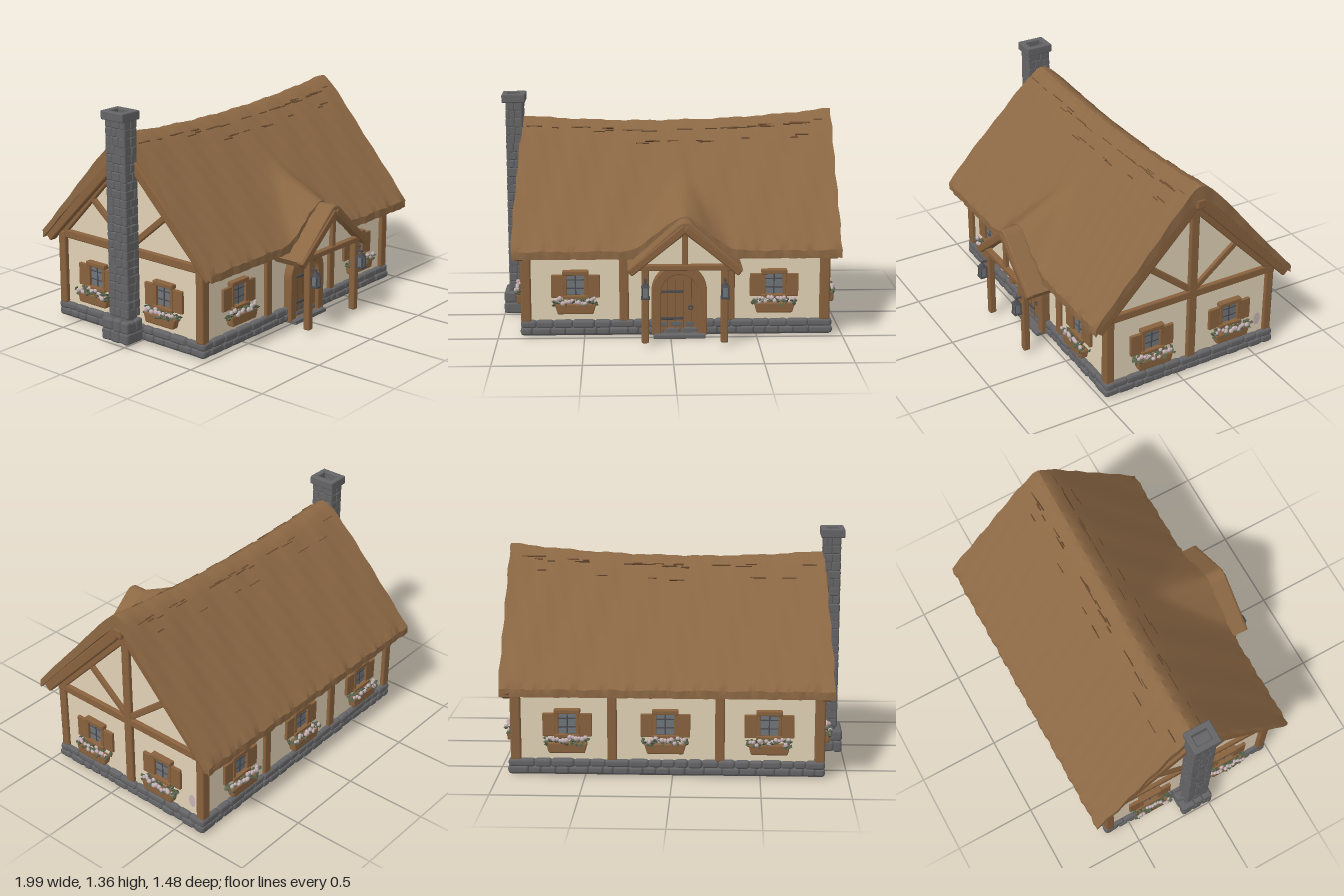
import * as THREE from 'three';
import { mergeGeometries, toCreasedNormals } from 'three/addons/utils/BufferGeometryUtils.js';
import { RoundedBoxGeometry } from 'three/addons/geometries/RoundedBoxGeometry.js';

const colours = {
  thatch: 0x8c6844, darkThatch: 0x684a2f, wood: 0x89623e, plaster: 0xe2d2b6, stone: 0x656567,
  glass: 0x70757b, leaf: 0x566149, flower: 0xc6b2b7, iron: 0x4c4c50, underside: 0x4e4e4f,
};
const mat = {};
for (const [name, color] of Object.entries(colours)) {
  mat[name] = new THREE.MeshStandardMaterial({ color });
  mat[name].name = name;
}

let seed = 7;
const rnd = () => (seed = (seed * 16807) % 2147483647) / 2147483647;
const vary = (a, b) => a + (b - a) * rnd();
const V = (x, y, z) => new THREE.Vector3(x, y, z);

function add(parent, name, geo, material) {
  const mesh = new THREE.Mesh(geo, material);
  mesh.name = name;
  parent.add(mesh);
  return mesh;
}
const rounded = (w, h, d, k = 0.2) => new RoundedBoxGeometry(w, h, d, 1, Math.min(w, h, d) * k);
const block = (parent, name, w, h, d, x, y, z, m) => add(parent, name, rounded(w, h, d).translate(x, y, z), m);

// Timber running from a to b, w wide and d deep
function beam(parent, name, a, b, w, d) {
  const dir = b.clone().sub(a);
  const mesh = add(parent, name, rounded(w, dir.length(), d), mat.wood);
  mesh.position.copy(a).add(b).multiplyScalar(0.5);
  mesh.quaternion.setFromUnitVectors(V(0, 1, 0), dir.normalize());
}

// One course of uneven stones around a rectangle
function stoneRing(list, x0, x1, z0, z1, y, h, size, depth) {
  const row = (len, place) => {
    for (let p = 0; p < len - 0.005;) {
      let w = size * vary(0.65, 1.35);
      if (len - p - w < size * 0.5) w = len - p;
      place(p + w / 2, w * 1.04, h * vary(0.98, 1.22), depth * vary(0.9, 1.15));
      p += w;
    }
  };
  for (const z of [z0 + depth / 2, z1 - depth / 2])
    row(x1 - x0, (p, w, hh, d) => list.push(rounded(w, hh, d, 0.36).translate(x0 + p, y, z)));
  for (const x of [x0 + depth / 2, x1 - depth / 2])
    row(z1 - z0, (p, w, hh, d) => list.push(rounded(d, hh, w, 0.36).translate(x, y, z0 + p)));
}

const RIDGE_Z = -0.09, FRONT = 0.573, BACK = -0.737;
const ridgeY = (x) => { const u = (x - 0.05) / 0.9; return 1.187 + 0.0475 * u * u + 0.0175 * u; };
const reach = (z) => Math.abs(z - RIDGE_Z) / (z > RIDGE_Z ? FRONT - RIDGE_Z : RIDGE_Z - BACK);
function mainRoof(x, z) {
  const round = (t) => Math.hypot(t, 0.07) - 0.07;
  const r = ridgeY(x);
  return r - (r - 0.533) * round(reach(z)) / round(1);
}
// Main slope blended into the swell over the porch
function roofTop(x, z) {
  const a = mainRoof(x, z);
  if (z < RIDGE_Z) return a;
  const b = 0.784 - 0.9 * Math.hypot(x - 0.07, 0.06) + (FRONT - z) * 0.48;
  return 0.5 * (a + b + Math.hypot(a - b, 0.03));
}

function roofGeometry() {
  const NX = 90, K = 36, M = 2 * (K + 1), pos = [], idx = [];
  for (let i = 0; i <= NX; i++) for (let j = 0; j < M; j++) {
    const outer = j <= K, t = (outer ? j : M - 1 - j) / K;
    const z = FRONT + (BACK - FRONT) * t, d = reach(z);
    const left = -0.865 - 0.045 * Math.min(1, d * 1.2);
    const x = left + (0.977 - left) * i / NX;
    const wave = 0.0025 * Math.sin(x * 23 + z * 9) + 0.002 * Math.sin(x * 61 - z * 17);
    const y = outer ? roofTop(x, z) + wave : mainRoof(x, z) - 0.046 - 0.049 * (1 - d);
    const edge = d > 0.97 ? 0.003 * (Math.sin(x * 37) + Math.sin(x * 83 + 1)) : 0;
    pos.push(x + (i === 0 || i === NX ? 0.004 * Math.sin(z * 45) : 0), y, z + edge);
  }
  for (let i = 0; i < NX; i++) for (let j = 0; j < M; j++) {
    const a = i * M + j, d = i * M + (j + 1) % M, b = a + M, c = d + M;
    idx.push(a, b, c, a, c, d);
  }
  for (let j = 0; j < K; j++) {
    const q = [M - 1 - j, M - 2 - j, j + 1, j], r = q.map((v) => v + NX * M);
    idx.push(r[0], r[1], r[2], r[0], r[2], r[3], q[0], q[2], q[1], q[0], q[3], q[2]);
  }
  const g = new THREE.BufferGeometry();
  g.setAttribute('position', new THREE.Float32BufferAttribute(pos, 3));
  g.setIndex(idx);
  return toCreasedNormals(g, 0.7);
}

// Window with shutters and a flower box, facing +z
function makeWindow(x, z, turn) {
  const g = new THREE.Group();
  g.name = 'window';
  block(g, 'glass', 0.11, 0.13, 0.014, 0, 0.005, 0.002, mat.glass);
  for (const s of [-1, 1]) {
    block(g, 'windowJamb', 0.02, 0.15, 0.035, s * 0.06, 0.005, 0.008, mat.wood);
    block(g, 'shutter', 0.072, 0.135, 0.02, s * 0.105, -0.006, 0.012, mat.wood);
  }
  block(g, 'windowHead', 0.15, 0.028, 0.045, 0, 0.073, 0.008, mat.wood);
  block(g, 'windowSill', 0.15, 0.02, 0.05, 0, -0.07, 0.01, mat.wood);
  block(g, 'mullion', 0.008, 0.13, 0.012, 0, 0.005, 0.007, mat.iron);
  for (const y of [-0.02, 0.03]) block(g, 'glazingBar', 0.11, 0.007, 0.012, 0, y, 0.007, mat.iron);
  const box = rounded(0.235, 0.062, 0.05), p = box.attributes.position;
  for (let i = 0; i < p.count; i++) if (p.getY(i) < 0) p.setX(i, p.getX(i) * 0.9);
  add(g, 'flowerBox', box.translate(0, -0.132, 0.037), mat.wood);
  const leaves = [], flowers = [];
  for (let i = 0; i < 56; i++) {
    const leaf = new THREE.OctahedronGeometry(0.018).scale(1, 0.5, 0.75);
    leaf.rotateZ(vary(-1, 1)).rotateY(vary(0, 6));
    leaves.push(leaf.translate(vary(-0.128, 0.128), vary(-0.115, -0.078), vary(0.015, 0.068)));
  }
  for (let i = 0; i < 13; i++)
    flowers.push(new THREE.IcosahedronGeometry(vary(0.011, 0.015), 1).scale(1, 1, 0.8).translate(
      -0.108 + 0.018 * i, vary(-0.1, -0.066), vary(0.045, 0.07)));
  add(g, 'leaves', mergeGeometries(leaves), mat.leaf);
  add(g, 'flowers', mergeGeometries(flowers), mat.flower);
  g.position.set(x, 0.31, z);
  g.rotation.y = turn;
  return g;
}

function arch(half, spring, top) {
  const s = new THREE.Shape();
  s.moveTo(-half, 0.02).lineTo(half, 0.02).lineTo(half, spring);
  s.absellipse(0, spring, half, top - spring, 0, Math.PI, false, 0);
  return s.lineTo(-half, 0.02);
}
const extrude = (shape, depth, bevel = 0) => new THREE.ExtrudeGeometry(shape, {
  depth, bevelEnabled: bevel > 0, bevelSize: bevel, bevelThickness: bevel, bevelSegments: 2, curveSegments: 16,
});
const poly = (pts) => new THREE.Shape(pts.map(([x, y]) => new THREE.Vector2(x, y)));

function makeDoor() {
  const g = new THREE.Group();
  g.name = 'door';
  const frame = arch(0.155, 0.275, 0.425);
  frame.holes.push(arch(0.112, 0.265, 0.38));
  add(g, 'doorFrame', extrude(frame, 0.05, 0.005).translate(0, 0, 0.45), mat.wood);
  add(g, 'doorLeaf', extrude(arch(0.115, 0.265, 0.383), 0.03).translate(0, 0, 0.45), mat.wood);
  for (const x of [-0.07, -0.023, 0.023, 0.07])
    add(g, 'plankGap', new THREE.BoxGeometry(0.004, 0.31, 0.004).translate(x, 0.185, 0.479), mat.darkThatch);
  for (const y of [0.11, 0.27]) block(g, 'hinge', 0.13, 0.016, 0.01, -0.045, y, 0.483, mat.iron);
  add(g, 'doorHandle', new THREE.TorusGeometry(0.012, 0.004, 6, 14).translate(0.065, 0.175, 0.487), mat.iron);
  block(g, 'doorstep', 0.3, 0.025, 0.12, 0, 0.0125, 0.475, mat.stone);
  g.position.x = 0.05;
  return g;
}

function makePorch() {
  const g = new THREE.Group();
  g.name = 'porch';
  const s = new THREE.Shape();
  s.moveTo(-0.315, 0.455).lineTo(-0.05, 0.692).quadraticCurveTo(0, 0.745, 0.05, 0.692).lineTo(0.315, 0.455);
  s.lineTo(0.3, 0.43).lineTo(0, 0.665).lineTo(-0.3, 0.43);
  add(g, 'porchThatch', extrude(s, 0.195, 0.008).translate(0, 0, 0.48), mat.thatch);
  add(g, 'porchGable', extrude(poly([[-0.23, 0.46], [0.23, 0.46], [0, 0.67]]), 0.02).translate(0, 0, 0.63), mat.plaster);
  for (const side of [-1, 1]) {
    beam(g, 'porchRafter', V(side * 0.315, 0.432, 0.67), V(0, 0.69, 0.67), 0.045, 0.045);
    const x = side * 0.225;
    beam(g, 'porchPost', V(x, 0.02, 0.66), V(x, 0.46, 0.66), 0.042, 0.042);
    beam(g, 'porchSideBeam', V(x, 0.445, 0.46), V(x, 0.445, 0.66), 0.03, 0.035);
    // Hanging lantern on the post
    block(g, 'lanternBracket', 0.012, 0.012, 0.05, x, 0.397, 0.695, mat.iron);
    add(g, 'lanternCap', new THREE.ConeGeometry(0.034, 0.035, 4, 1).rotateY(Math.PI / 4).translate(x, 0.378, 0.712), mat.iron);
    block(g, 'lanternGlass', 0.034, 0.066, 0.034, x, 0.33, 0.712, mat.glass);
    block(g, 'lanternBase', 0.05, 0.012, 0.05, x, 0.298, 0.712, mat.iron);
    for (const dx of [-1, 1]) for (const dz of [-1, 1])
      block(g, 'lanternBar', 0.007, 0.066, 0.007, x + dx * 0.018, 0.33, 0.712 + dz * 0.018, mat.iron);
  }
  beam(g, 'porchTieBeam', V(-0.27, 0.462, 0.662), V(0.27, 0.462, 0.662), 0.034, 0.04);
  beam(g, 'porchKingPost', V(0, 0.46, 0.66), V(0, 0.68, 0.66), 0.034, 0.03);
  g.position.x = 0.075;
  return g;
}

function makeChimney() {
  const g = new THREE.Group();
  g.name = 'chimney';
  const stones = [rounded(0.085, 1.3, 0.13).translate(-0.918, 0.665, -0.072), rounded(0.11, 0.13, 0.19).translate(-0.93, 0.075, -0.08)];
  for (let y = 0.185; y < 1.3; y += 0.05) stoneRing(stones, -0.967, -0.866, -0.147, 0.002, y, 0.05, 0.055, 0.025);
  for (const y of [0.045, 0.112]) stoneRing(stones, -0.997, -0.866, -0.185, 0.02, y, 0.064, 0.075, 0.04);
  // Hollow cap
  for (const s of [-1, 1]) {
    stones.push(rounded(0.036, 0.052, 0.168).translate(-0.92 + s * 0.052, 1.331, -0.072));
    stones.push(rounded(0.14, 0.052, 0.036).translate(-0.92, 1.331, -0.072 + s * 0.066));
  }
  add(g, 'chimneyStones', mergeGeometries(stones), mat.stone);
  return g;
}

export function createModel() {
  const house = new THREE.Group();
  house.name = 'cottage';

  // Plinth
  add(house, 'floorUnderside', new THREE.BoxGeometry(1.78, 0.01, 1.11).translate(0.035, 0.013, -0.09), mat.underside);
  const stones = [rounded(1.76, 0.075, 1.09).translate(0.035, 0.06, -0.09)];
  stoneRing(stones, -0.87, 0.94, -0.662, 0.482, 0.034, 0.044, 0.085, 0.06);
  stoneRing(stones, -0.868, 0.938, -0.66, 0.48, 0.075, 0.044, 0.1, 0.06);
  add(house, 'plinthStones', mergeGeometries(stones), mat.stone);

  // Plastered walls with gables
  const outline = poly([[-0.45, 0.08], [0.63, 0.08], [0.63, 0.55], [0.09, 1.12], [-0.45, 0.55]]);
  add(house, 'walls', extrude(outline, 1.75).rotateY(Math.PI / 2).translate(-0.84, 0, 0), mat.plaster);

  // Wall posts
  for (const z of [0.447, -0.627]) {
    for (const x of [-0.838, 0.897]) beam(house, 'cornerPost', V(x, 0.09, z), V(x, 0.54, z), 0.06, 0.055);
    for (const x of [-0.27, 0.345]) beam(house, 'wallPost', V(x, 0.09, z), V(x, 0.54, z), 0.055, 0.045);
    beam(house, 'wallPlate', V(-0.85, 0.53, z), V(0.92, 0.53, z), 0.05, 0.045);
  }

  // Gable framing at both ends
  for (const [x, out, drop] of [[0.91, 1, 0], [-0.84, -1, 0.035]]) {
    beam(house, 'gablePost', V(x, 0.09, RIDGE_Z), V(x, 1.12, RIDGE_Z), 0.045, 0.056);
    beam(house, 'gableTie', V(x, 0.525, 0.475), V(x, 0.525, -0.655), 0.045, 0.052);
    block(house, 'ridgeBeamEnd', 0.11, 0.06, 0.06, x + out * 0.02, 1.138 - drop, RIDGE_Z, mat.wood);
    for (const s of [-1, 1]) {
      const at = (d, y, dx) => V(x + out * dx, y, RIDGE_Z + s * d);
      beam(house, 'gableBrace', at(0.02, 0.56, 0), at(0.31, 0.8, 0), 0.04, 0.038);
      beam(house, 'wallRafter', at(0.55, 0.52, 0.002), at(0, 1.09, 0.002), 0.04, 0.05);
      beam(house, 'bargeboard', at(0.632, 0.487, 0.028), at(0, 1.15 - drop, 0.028), 0.05, 0.062);
    }
  }

  // Windows on all four sides
  for (const x of [-0.55, 0.6]) house.add(makeWindow(x, 0.455, 0));
  for (const x of [-0.55, 0.04, 0.6]) house.add(makeWindow(x, -0.635, Math.PI));
  for (const z of [0.178, -0.348]) {
    const right = makeWindow(0.914, z, Math.PI / 2), left = makeWindow(-0.844, z, -Math.PI / 2);
    house.add(right, left);
  }

  // Worn patch low on the right wall
  const patch = new THREE.CircleGeometry(0.024, 9).scale(1, 1.8, 1).rotateY(Math.PI / 2).translate(0.913, 0.185, -0.56);
  add(house, 'wornPatch', patch, mat.flower);

  house.add(makeDoor(), makePorch(), makeChimney());

  // Thatched roof with dark worn streaks
  add(house, 'thatchedRoof', roofGeometry(), mat.thatch);
  const streaks = [];
  for (let i = 0; i < 64; i++) {
    const band = [0.12, 0.13, 0.22, 0.12][i % 4] + vary(-0.012, 0.012);
    const z = rnd() < 0.5 ? RIDGE_Z + band * 0.663 : RIDGE_Z - band * 0.647;
    const x = vary(-0.8, 0.9);
    const tilt = Math.atan2(roofTop(x, z - 0.01) - roofTop(x, z + 0.01), 0.02);
    streaks.push(new THREE.BoxGeometry(vary(0.03, 0.1), 0.009, vary(0.004, 0.008))
      .rotateX(tilt).translate(x, roofTop(x, z), z));
  }
  add(house, 'thatchStreaks', mergeGeometries(streaks), mat.darkThatch);
  return house;
}
